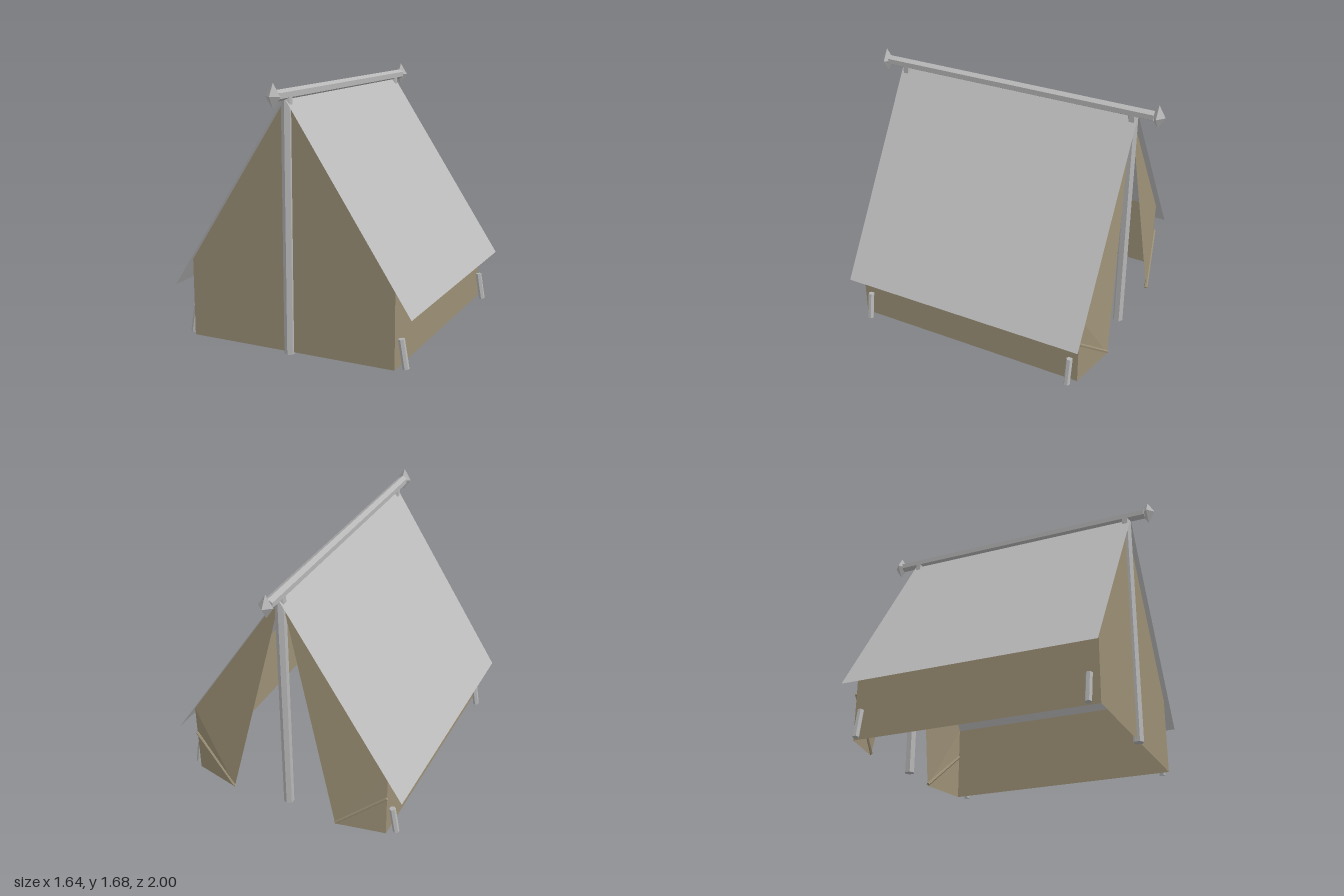
import * as THREE from 'three';

const mat = (name, color, side = THREE.FrontSide) =>
  new THREE.MeshStandardMaterial({ name, color, side, flatShading: true });

export function createModel() {
  const tent = new THREE.Group();
  tent.name = 'tent';
  const roofCloth = mat('grey roof cloth', 0xbcbcbc, THREE.DoubleSide);
  const wallCloth = mat('khaki wall cloth', 0x9c9076, THREE.DoubleSide);
  const wood = mat('grey pole', 0xb6b6b6);

  const PEAK = 1.59, WALL_X = 0.702, WALL_Y = 0.52, WALL_Z = 0.797, BASE = 0.01;

  const add = (name, geometry, material) => {
    const mesh = new THREE.Mesh(geometry, material);
    mesh.name = name;
    tent.add(mesh);
    return mesh;
  };

  // Flat cloth panel: a fan of triangles around the first corner
  const panel = (name, corners, material) => {
    const pos = [];
    for (let i = 1; i < corners.length - 1; i++) {
      pos.push(...corners[0], ...corners[i], ...corners[i + 1]);
    }
    const g = new THREE.BufferGeometry();
    g.setAttribute('position', new THREE.Float32BufferAttribute(pos, 3));
    g.computeVertexNormals();
    return add(name, g, material);
  };

  // Six-sided rod between two points
  const rod = (name, a, b, radius, material) => {
    const from = new THREE.Vector3(...a), to = new THREE.Vector3(...b);
    const dir = to.clone().sub(from);
    const mesh = add(name, new THREE.CylinderGeometry(radius, radius, dir.length(), 6), material);
    mesh.position.copy(from).add(to).multiplyScalar(0.5);
    mesh.quaternion.setFromUnitVectors(new THREE.Vector3(0, 1, 0), dir.normalize());
    return mesh;
  };

  // Closed front wall
  panel('frontWall', [
    [0, PEAK, WALL_Z], [-WALL_X, WALL_Y, WALL_Z], [-WALL_X, BASE, WALL_Z],
    [WALL_X, BASE, WALL_Z], [WALL_X, WALL_Y, WALL_Z],
  ], wallCloth);

  for (const s of [1, -1]) {
    const side = s > 0 ? 'left' : 'right';
    const x = s * WALL_X;

    // Sloping roof sheet with overhanging eave
    panel(side + 'Roof', [
      [0, PEAK, 0.83], [s * 0.818, 0.345, 0.83], [s * 0.818, 0.345, -0.83], [0, PEAK, -0.83],
    ], roofCloth);

    // Low side wall
    panel(side + 'Wall', [
      [x, BASE, WALL_Z], [x, BASE, -0.79], [x, WALL_Y, -0.79], [x, WALL_Y, WALL_Z],
    ], wallCloth);

    // Open back flap pulled outwards, with a rolled tie along its fold
    const tip = [s * 0.38, 0.02, -0.868];
    panel(side + 'Flap', [
      tip, [0, PEAK, -0.79], [x, WALL_Y, -0.79], [x, 0.31, -0.79], [x, BASE, -0.79],
    ], wallCloth);
    rod(side + 'FlapTie', [tip[0], 0.03, -0.865], [x, 0.315, -0.792], 0.012, wallCloth);

    // Pegs leaning against the side walls
    for (const z of [0.74, -0.74]) {
      rod(side + (z > 0 ? 'Front' : 'Back') + 'Peg',
        [s * 0.752, 0.008, z], [s * 0.72, 0.192, z], 0.021, wood);
    }
  }

  // Upright poles and the pointed caps on the ridge
  for (const s of [1, -1]) {
    const end = s > 0 ? 'front' : 'back';
    rod(end + 'Pole', [0, 0, s * 0.797], [0, 1.6, s * 0.797], 0.034, wood);
    const cap = add(end + 'RidgeCap', new THREE.OctahedronGeometry(1), wood);
    cap.scale.set(0.05, 0.078, 0.045);
    cap.position.set(0, 1.605, s * 0.955);
  }

  // Ridge pole, one edge facing up
  rod('ridgePole', [0, 1.605, -0.932], [0, 1.605, 0.932], 0.034, wood);

  return tent;
}
